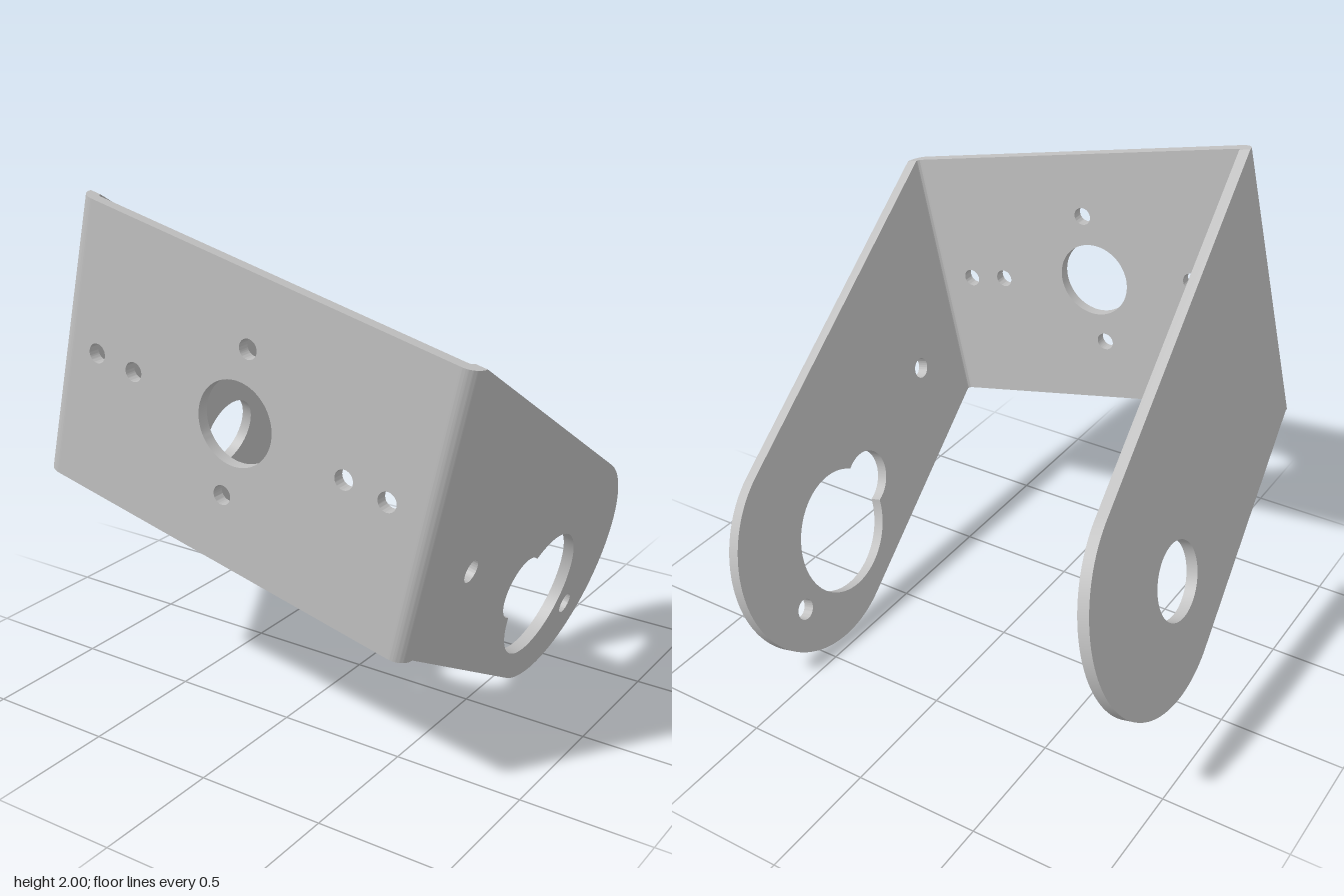
import * as THREE from 'three';
import { toCreasedNormals } from 'three/addons/utils/BufferGeometryUtils.js';

const T = 0.045;        // sheet thickness
const HALF_W = 0.803;   // half width across the outer arm faces
const HALF_H = 0.537;   // half height of the front plate
const FRONT = 0.835;    // front face z
const BEND = 0.06;      // outer bend radius
const TILT = THREE.MathUtils.degToRad(13.4);

const steel = new THREE.MeshStandardMaterial({ color: 0xbfbfbf });
steel.name = 'plain steel';

function circle(x, y, r) {
  return new THREE.Path().absarc(x, y, r, 0, Math.PI * 2, false);
}

function extrude(shape, depth) {
  return new THREE.ExtrudeGeometry(shape, { depth, bevelEnabled: false, curveSegments: 40 });
}

function part(name, geometry) {
  const mesh = new THREE.Mesh(toCreasedNormals(geometry, 0.5), steel);
  mesh.name = name;
  return mesh;
}

// Large round opening merged with a smaller lobe
function keyhole(bx, by, R, lx, ly, r) {
  const d = Math.hypot(lx - bx, ly - by);
  const a = Math.atan2(ly - by, lx - bx);
  const b = Math.acos((d * d + R * R - r * r) / (2 * d * R));
  const g = Math.acos((d * d + r * r - R * R) / (2 * d * r));
  const path = new THREE.Path();
  path.absarc(bx, by, R, a + b, a - b + Math.PI * 2, false);
  path.absarc(lx, ly, r, a + Math.PI + g, a + 3 * Math.PI - g, false);
  return path;
}

// Slanted arm with a round end, drawn in (-z, y) and turned sideways
function arm(name, x, holes) {
  const start = BEND - FRONT;
  const s = new THREE.Shape();
  s.moveTo(start, HALF_H);
  s.lineTo(start, -HALF_H);
  s.absarc(0.369, -0.671, 0.466, -Math.PI * 2 / 3, Math.PI / 3, false);
  s.closePath();
  s.holes.push(...holes);
  return part(name, extrude(s, T).rotateY(Math.PI / 2).translate(x, 0, 0));
}

// Quarter-round bend joining the plate to an arm
function bend(name, side) {
  const cx = side * (HALF_W - BEND), cy = BEND - FRONT;
  const a0 = side > 0 ? -Math.PI / 2 : Math.PI, a1 = a0 + Math.PI / 2;
  const s = new THREE.Shape();
  s.absarc(cx, cy, BEND, a0, a1, false);
  s.absarc(cx, cy, BEND - T, a1, a0, true);
  s.closePath();
  return part(name, extrude(s, 2 * HALF_H).rotateX(-Math.PI / 2).translate(0, -HALF_H, 0));
}

export function createModel() {
  const bracket = new THREE.Group();
  bracket.name = 'bracket';

  // Front plate with a centre opening and screw holes
  const w = HALF_W - BEND;
  const plate = new THREE.Shape();
  plate.moveTo(-w, -HALF_H);
  plate.lineTo(w, -HALF_H);
  plate.lineTo(w, HALF_H);
  plate.lineTo(-w, HALF_H);
  plate.closePath();
  const cx = -0.012;
  plate.holes.push(circle(cx, 0, 0.154));
  for (const s of [-1, 1]) {
    plate.holes.push(circle(cx, s * 0.277, 0.036));
    for (const x of [0.451, 0.621]) plate.holes.push(circle(cx + s * x, 0, 0.036));
  }
  bracket.add(part('frontPlate', extrude(plate, T).translate(0, 0, FRONT - T)));

  bracket.add(bend('leftBend', 1), bend('rightBend', -1));

  // Left arm: keyhole and two screw holes; right arm: one round hole
  bracket.add(arm('leftArm', HALF_W - T, [
    keyhole(0.23, -0.717, 0.257, 0.015, -0.594, 0.125),
    circle(-0.49, -0.306, 0.043),
    circle(0.55, -0.902, 0.043),
  ]));
  bracket.add(arm('rightArm', -HALF_W, [circle(0.24, -0.72, 0.15)]));

  bracket.rotation.z = -TILT;
  bracket.position.set(0.068, 1.293, 0);

  const model = new THREE.Group();
  model.name = 'mountingBracket';
  model.add(bracket);
  return model;
}
